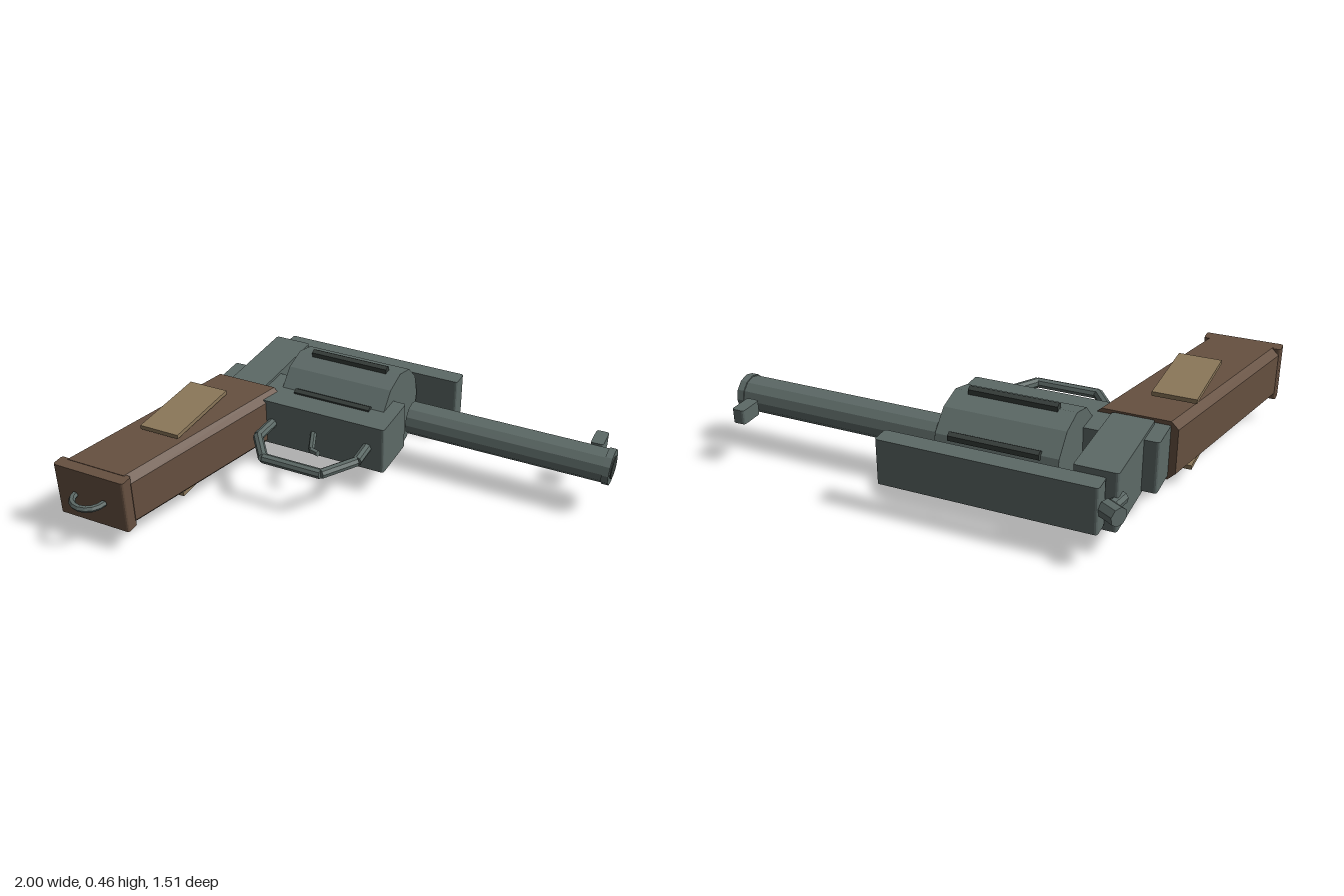
import * as THREE from 'three';

const MID = 0.23; // height of the model's plane of symmetry

export function createModel() {
  const model = new THREE.Group();
  const mat = (name, color) => {
    const m = new THREE.MeshStandardMaterial({ color });
    m.name = name;
    return m;
  };
  const steel = mat('steel', 0x5c6966);
  const darkSteel = mat('dark steel', 0x353c39);
  const wood = mat('wood', 0x665040);
  const lightWood = mat('light wood', 0x8b7759);

  const add = (name, geometry, material, parent = model) => {
    const flat = geometry.index ? geometry.toNonIndexed() : geometry;
    flat.computeVertexNormals();
    const mesh = new THREE.Mesh(flat, material);
    mesh.name = name;
    parent.add(mesh);
    return mesh;
  };

  // Slab with rounded corners in plan, centred on the symmetry plane
  const slab = (name, x0, x1, z0, z1, half, material, r = 0.012) => {
    const s = new THREE.Shape();
    s.moveTo(x0 + r, z0);
    s.lineTo(x1 - r, z0);
    s.quadraticCurveTo(x1, z0, x1, z0 + r);
    s.lineTo(x1, z1 - r);
    s.quadraticCurveTo(x1, z1, x1 - r, z1);
    s.lineTo(x0 + r, z1);
    s.quadraticCurveTo(x0, z1, x0, z1 - r);
    s.lineTo(x0, z0 + r);
    s.quadraticCurveTo(x0, z0, x0 + r, z0);
    const g = new THREE.ExtrudeGeometry(s, { depth: 2 * half, bevelEnabled: false, curveSegments: 3 });
    g.rotateX(Math.PI / 2).translate(0, MID + half, 0);
    return add(name, g, material);
  };

  // Straight round bar between two [x, z] points on the symmetry plane
  const rod = (name, a, b, radius, sides, material, parent) => {
    const p = new THREE.Vector3(a[0], MID, a[1]);
    const q = new THREE.Vector3(b[0], MID, b[1]);
    const d = q.clone().sub(p);
    const g = new THREE.CylinderGeometry(radius, radius, d.length(), sides);
    const turn = new THREE.Quaternion().setFromUnitVectors(new THREE.Vector3(0, 1, 0), d.normalize());
    g.applyQuaternion(turn);
    g.translate((p.x + q.x) / 2, MID, (p.z + q.z) / 2);
    return add(name, g, material, parent);
  };

  // Chain of bars
  const chain = (name, points, radius, sides, material) => {
    const group = new THREE.Group();
    group.name = name;
    for (let i = 1; i < points.length; i++) {
      rod(name + 'Segment', points[i - 1], points[i], radius, sides, material, group);
    }
    model.add(group);
  };

  // Frame
  slab('lowerFrame', -0.755, 0.09, -0.365, -0.13, 0.108, steel);
  slab('rearFrame', -0.695, -0.525, -0.65, -0.225, 0.12, steel);
  slab('topStrap', -0.65, 0.22, -0.73, -0.65, 0.095, steel);
  rod('recoilPin', [-0.53, -0.588], [-0.455, -0.588], 0.043, 8, steel);

  // Drum with six raised ribs
  const AXIS = -0.435;
  rod('drum', [-0.46, AXIS], [0.03, AXIS], 0.205, 12, steel);
  for (let i = 0; i < 6; i++) {
    const rib = new THREE.CylinderGeometry(0.02, 0.02, 0.36, 6);
    rib.rotateZ(-Math.PI / 2).translate(-0.21, 0, 0.21);
    rib.rotateX(Math.PI / 2 + (i * Math.PI) / 3).translate(0, MID, AXIS);
    add('drumRib', rib, darkSteel);
  }

  // Barrel, muzzle and sight
  rod('barrel', [0.09, AXIS], [0.97, AXIS], 0.073, 12, steel);
  rod('muzzleRing', [0.965, AXIS], [0.995, AXIS], 0.078, 12, steel);
  rod('bore', [0.96, AXIS], [1.0, AXIS], 0.05, 12, darkSteel);
  slab('frontSight', 0.87, 0.925, -0.64, -0.535, 0.03, steel);

  // Hammer
  rod('hammerArm', [-0.695, -0.6], [-0.675, -0.7], 0.025, 8, steel);
  rod('hammerSpur', [-0.663, -0.692], [-0.725, -0.728], 0.038, 8, steel);

  // Trigger and guard
  chain('triggerGuard', [[-0.445, -0.14], [-0.45, -0.01], [-0.35, 0.125], [-0.08, 0.125],
    [0.015, -0.02], [0.01, -0.14]], 0.022, 8, steel);
  chain('trigger', [[-0.247, -0.14], [-0.195, -0.015], [-0.157, -0.003]], 0.014, 6, steel);

  // Raked grip: chamfered section lofted from top to butt
  const section = (cx, z, hw, hh) => {
    const c = 0.03;
    return [[hw - c, hh], [hw, hh - c], [hw, c - hh], [hw - c, -hh],
      [c - hw, -hh], [-hw, c - hh], [-hw, hh - c], [c - hw, hh]]
      .map(([x, y]) => [cx + x, MID + y, z]);
  };
  const top = section(-0.6175, -0.22, 0.1675, 0.125);
  const butt = section(-0.83, 0.615, 0.165, 0.12);
  const v = [];
  for (let i = 0; i < 8; i++) {
    const j = (i + 1) % 8;
    v.push(...top[i], ...butt[i], ...butt[j], ...top[i], ...butt[j], ...top[j]);
    if (i > 0 && i < 7) {
      v.push(...top[0], ...top[i], ...top[j]);
      v.push(...butt[0], ...butt[j], ...butt[i]);
    }
  }
  const grip = new THREE.BufferGeometry();
  grip.setAttribute('position', new THREE.Float32BufferAttribute(v, 3));
  add('grip', grip, wood);
  slab('buttCap', -1.0, -0.667, 0.605, 0.665, 0.118, wood);

  // Grip panels on both sides
  for (const side of [-1, 1]) {
    const panel = new THREE.BoxGeometry(0.18, 0.018, 0.39);
    panel.translate(-0.72, MID + side * 0.145, 0.13);
    add('gripPanel', panel, lightWood);
  }

  // Lanyard loop
  const loop = new THREE.TorusGeometry(0.07, 0.014, 6, 8, Math.PI);
  loop.rotateX(Math.PI / 2).translate(-0.837, MID, 0.67);
  add('lanyardLoop', loop, steel);

  return model;
}
